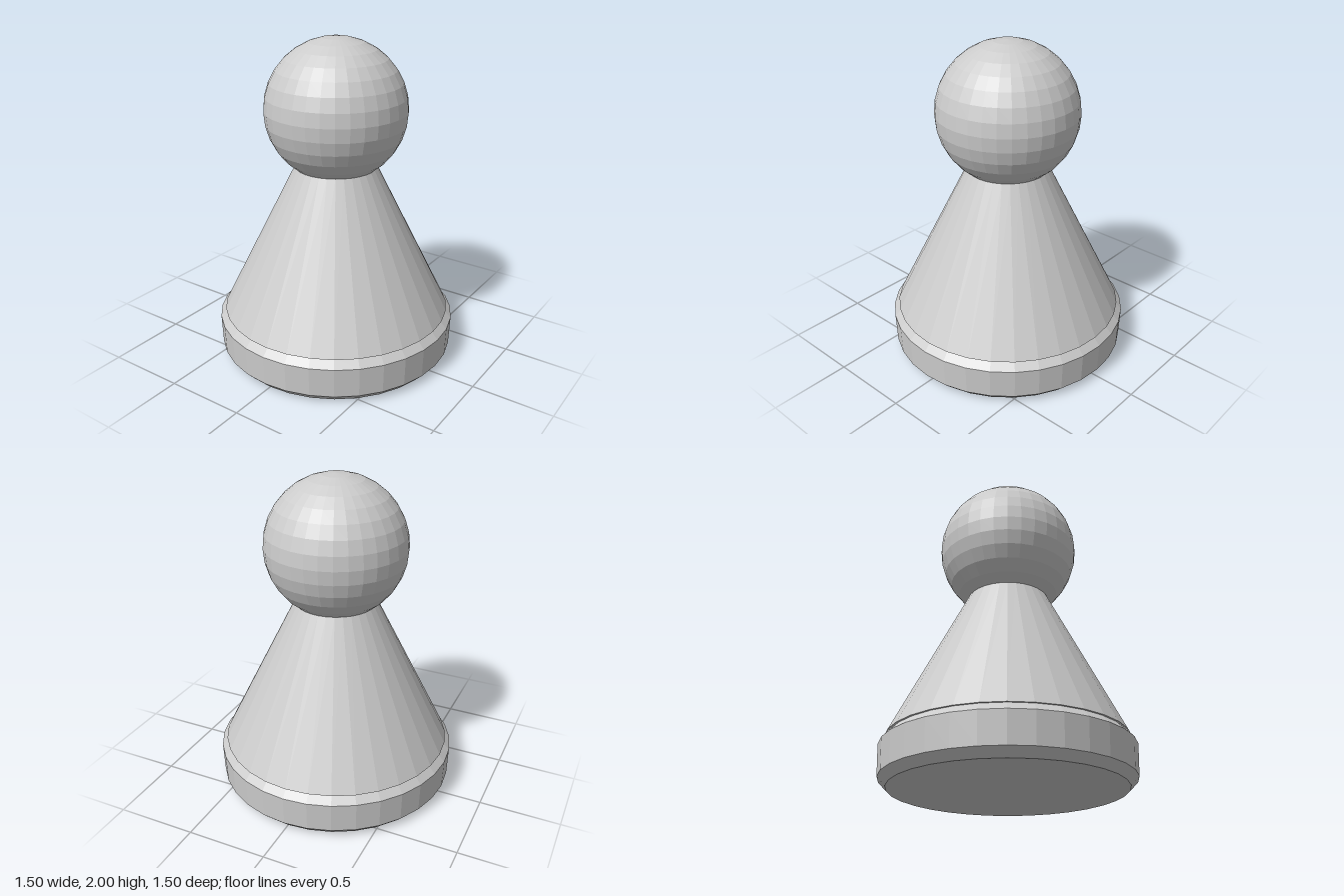
import * as THREE from 'three';

const SIDES = 32;

export function createModel() {
  const group = new THREE.Group();
  const material = new THREE.MeshStandardMaterial({ color: 0xcccccc, flatShading: true });

  const add = (name, geometry, y = 0) => {
    const mesh = new THREE.Mesh(geometry, material);
    mesh.name = name;
    mesh.position.y = y;
    group.add(mesh);
  };

  // Bevelled foot disc, closed at both ends
  const footProfile = [[0, 0], [0.695, 0], [0.743, 0.05], [0.75, 0.235], [0.702, 0.285], [0, 0.285]];
  add('base', new THREE.LatheGeometry(footProfile.map(([r, y]) => new THREE.Vector2(r, y)), SIDES));

  // Tapered body, slightly overhanging the top of the base bevel
  const bottom = 0.283, top = 1.212;
  add('body', new THREE.CylinderGeometry(0.253, 0.717, top - bottom, SIDES), (top + bottom) / 2);

  // Round head, sunk onto the neck
  add('head', new THREE.SphereGeometry(0.435, SIDES, 16), 1.565);

  return group;
}
